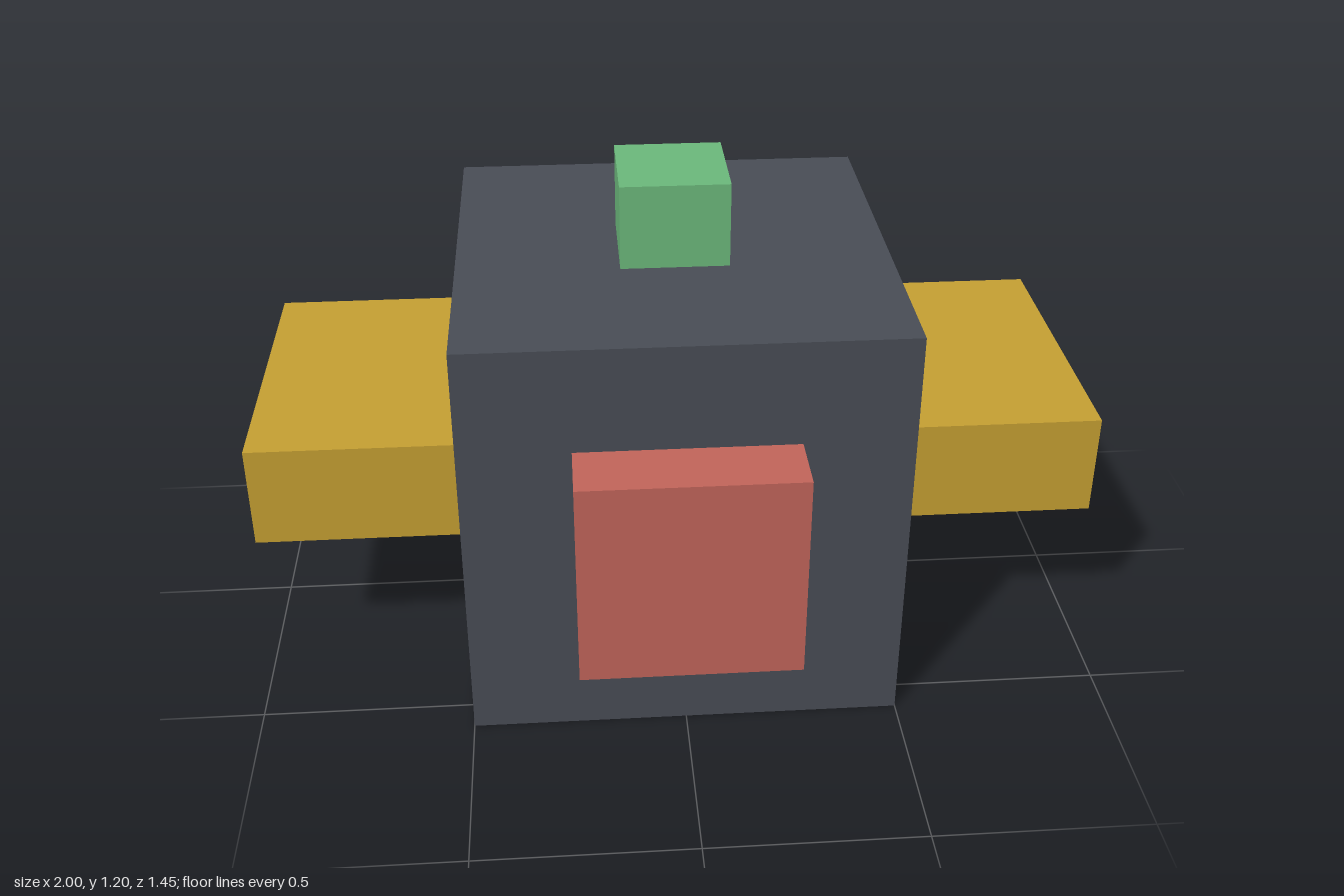
import * as THREE from 'three';

function material(name, color) {
  const m = new THREE.MeshStandardMaterial({ color });
  m.name = name;
  return m;
}

// Box given by its min and max corners
function block(name, mat, [x0, y0, z0], [x1, y1, z1]) {
  const mesh = new THREE.Mesh(new THREE.BoxGeometry(x1 - x0, y1 - y0, z1 - z0), mat);
  mesh.name = name;
  mesh.position.set((x0 + x1) / 2, (y0 + y1) / 2, (z0 + z1) / 2);
  return mesh;
}

export function createModel() {
  const slate = material('slate grey', 0x4a4e57);
  const red = material('soft red', 0xc4665b);
  const gold = material('gold', 0xc8a233);
  const green = material('green', 0x6dbb7d);

  const model = new THREE.Group();
  model.name = 'blockModel';

  // Main cube with the blocks on its front, back and top
  model.add(
    block('body', slate, [-0.5, 0, -0.425], [0.5, 1, 0.575]),
    block('frontPanel', red, [-0.25, 0.25, 0.575], [0.25, 0.75, 0.725]),
    block('backPack', slate, [-0.25, 0.25, -0.725], [0.25, 0.75, -0.425]),
    block('topKnob', green, [-0.125, 1, -0.05], [0.125, 1.2, 0.2]),
  );

  // Side wings, flush with the back of the body
  for (const [name, x] of [['leftWing', 0.5], ['rightWing', -1]]) {
    model.add(block(name, gold, [x, 0.375, -0.425], [x + 0.5, 0.625, 0.325]));
  }
  return model;
}
